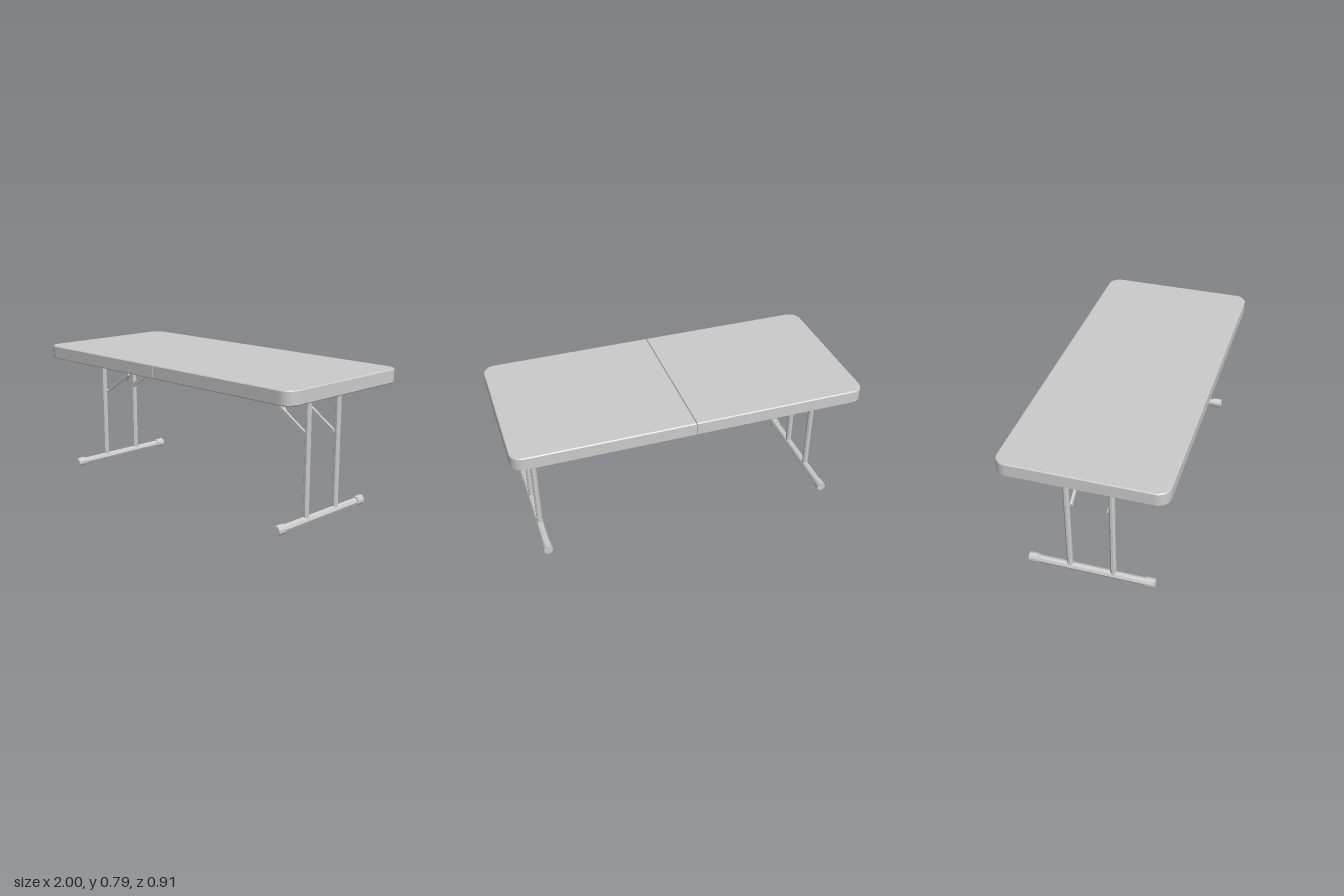
import * as THREE from 'three';

const material = new THREE.MeshStandardMaterial({ color: 0xcccccc, flatShading: true });

function add(parent, name, geometry, x = 0, y = 0, z = 0) {
  const mesh = new THREE.Mesh(geometry, material);
  mesh.name = name;
  mesh.position.set(x, y, z);
  parent.add(mesh);
  return mesh;
}

// Flat bar running between two points in the xy plane
function addBar(parent, name, [x1, y1], [x2, y2], width, depth, z) {
  const length = Math.hypot(x2 - x1, y2 - y1);
  const bar = add(parent, name, new THREE.BoxGeometry(length, width, depth),
    (x1 + x2) / 2, (y1 + y2) / 2, z);
  bar.rotation.z = Math.atan2(y2 - y1, x2 - x1);
}

// Half of the folding top: outer corners rounded, inner edge straight at the seam
function halfTopGeometry() {
  const bevel = 0.005, gap = 0.001;
  const x0 = gap + bevel / 2, x1 = 0.998 - bevel, z1 = 0.455 - bevel, r = 0.065;
  const shape = new THREE.Shape();
  shape.moveTo(x0, -z1);
  shape.lineTo(x1 - r, -z1);
  shape.absarc(x1 - r, -z1 + r, r, -Math.PI / 2, 0, false);
  shape.lineTo(x1, z1 - r);
  shape.absarc(x1 - r, z1 - r, r, 0, Math.PI / 2, false);
  shape.lineTo(x0, z1);
  shape.closePath();
  const geometry = new THREE.ExtrudeGeometry(shape, {
    depth: 0.078 - 2 * bevel, bevelEnabled: true, bevelSize: bevel,
    bevelThickness: bevel, bevelSegments: 1, curveSegments: 4,
  });
  geometry.rotateX(-Math.PI / 2);
  geometry.translate(0, 0.717 + bevel, 0);
  // Keep the bevelled inner edge just short of the seam
  const p = geometry.attributes.position;
  for (let i = 0; i < p.count; i++) p.setX(i, Math.max(p.getX(i), gap));
  geometry.computeVertexNormals();
  return geometry;
}

// Eight-sided tube standing upright
function tube(radius, length) {
  return new THREE.CylinderGeometry(radius, radius, length, 8);
}

// One folding leg assembly on the +x end
function legFrame() {
  const frame = new THREE.Group();
  frame.name = 'legFrame';
  const legX = 0.857;

  // Foot tube with end caps
  add(frame, 'footBar', tube(0.022, 0.66).rotateX(Math.PI / 2), legX, 0.029, 0);
  for (const side of [-1, 1]) {
    add(frame, 'footCap', new THREE.CylinderGeometry(0.026, 0.026, 0.055, 10).rotateX(Math.PI / 2),
      legX, 0.03, side * 0.334).scale.set(1, 1.1, 1);

    // Upright leg
    add(frame, 'leg', tube(0.017, 0.675).rotateY(Math.PI / 8), legX, 0.3825, side * 0.124);

    // Sliding rail under the top
    add(frame, 'rail', new THREE.BoxGeometry(0.595, 0.013, 0.023), 0.54, 0.711, side * 0.095);

    // Two-piece folding brace
    addBar(frame, 'upperBrace', [0.568, 0.712], [0.678, 0.567], 0.027, 0.012, side * 0.093);
    addBar(frame, 'lowerBrace', [0.632, 0.611], [0.845, 0.474], 0.023, 0.013, side * 0.102);
    add(frame, 'bracePivot', tube(0.008, 0.024).rotateX(Math.PI / 2), 0.655, 0.597, side * 0.097);
    add(frame, 'legPivot', tube(0.007, 0.03).rotateX(Math.PI / 2), 0.845, 0.474, side * 0.108);
  }
  return frame;
}

export function createModel() {
  const table = new THREE.Group();
  table.name = 'foldingTable';

  // Two top halves meeting at the centre seam
  const top = halfTopGeometry();
  add(table, 'topLeftHalf', top);
  add(table, 'topRightHalf', top).rotation.y = Math.PI;

  // Matching leg frames at both ends
  const underframe = new THREE.Group();
  underframe.name = 'underframe';
  underframe.position.set(-0.009, 0, 0.004);
  const left = legFrame();
  const right = legFrame();
  right.rotation.y = Math.PI;
  underframe.add(left, right);
  table.add(underframe);

  return table;
}
